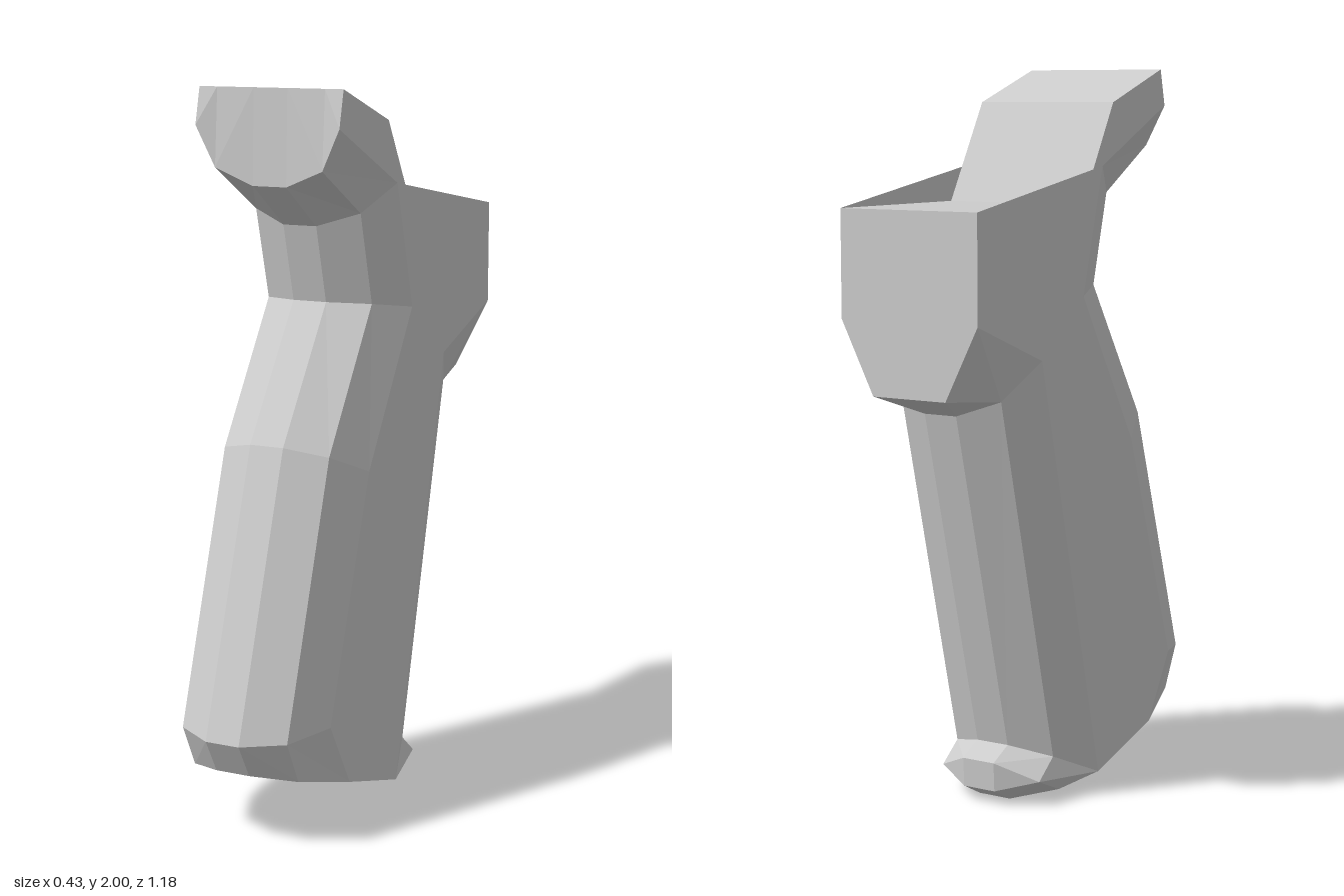
import * as THREE from 'three';

// Half widths of the six points running down one side of a section, front to back
const WIDTHS = [0.05, 0.16, 0.214, 0.214, 0.16, 0.05];
const BLOCK_WIDTHS = [0.05, 0.16, 0.214, 0.214, 0.114, 0.05];

// Front and rear halves of the sections, as [z, y]; front runs centre to side, rear side to centre
const same = (z, y) => [[z, y], [z, y], [z, y]];
const front = {
  sole: [[0.54, 0.21], [0.47, 0.19], [0.28, 0.14]],
  heel: [[0.594, 0.305], [0.53, 0.31], [0.39, 0.325]],
  palm: [[0.35, 1.06], [0.297, 1.035], [0.17, 0.98]],
  neck: [[0.11, 1.42], [0.053, 1.415], [-0.085, 1.395]],
  web: [[0.165, 1.63], [0.12, 1.665], [0.01, 1.74]],
  beak: [[0.328, 1.745], [0.335, 1.79], [0.343, 1.9]],
  tip: same(0.32, 2),
};
const rear = {
  sole: [[0, 0.06], [-0.12, 0.03], [-0.2, 0.005]],
  lipLow: [[0, 0.06], [-0.22, 0.075], [-0.276, 0.045]],
  lipHigh: [[0, 0.06], [-0.22, 0.075], [-0.28, 0.125]],
  lipTop: [[0, 0.06], [-0.15, 0.13], [-0.21, 0.16]],
  strapTop: [[-0.29, 1.24], [-0.403, 1.14], [-0.45, 1.1]],
  blockLow: [[-0.589, 1.353], [-0.589, 1.156], [-0.589, 1.156]],
  blockTop: same(-0.589, 1.64),
  saddle: same(-0.09, 1.64),
  crest: same(0.064, 1.91),
};

// Full closed section: one side, then its mirror image
function section(f, r, widths = WIDTHS) {
  const side = [...f, ...r].map(([z, y], i) => new THREE.Vector3(widths[i], y, z));
  const mirror = side.map((p) => new THREE.Vector3(-p.x, p.y, p.z)).reverse();
  return [...side, ...mirror];
}

// Flat-shaded skin over stacked sections, optionally closed at either end
function loft(name, rows, capBottom, capTop) {
  const pos = [];
  const tri = (a, b, c) => {
    const area = b.clone().sub(a).cross(c.clone().sub(a)).length();
    if (area > 1e-6) for (const p of [a, b, c]) pos.push(p.x, p.y, p.z);
  };
  for (let r = 0; r < rows.length - 1; r++) {
    for (let i = 0; i < 12; i++) {
      const j = (i + 1) % 12;
      const [a, b, c, d] = [rows[r][i], rows[r][j], rows[r + 1][j], rows[r + 1][i]];
      // Diagonals are mirrored from one side to the other
      if (i < 6) { tri(a, b, d); tri(b, c, d); }
      else { tri(a, b, c); tri(a, c, d); }
    }
  }
  // Caps are fans, as the end sections are convex
  for (let i = 1; i < 11; i++) {
    const bottom = rows[0], top = rows[rows.length - 1];
    if (capBottom) tri(bottom[0], bottom[i + 1], bottom[i]);
    if (capTop) tri(top[0], top[i], top[i + 1]);
  }
  const geometry = new THREE.BufferGeometry();
  geometry.setAttribute('position', new THREE.Float32BufferAttribute(pos, 3));
  geometry.computeVertexNormals();
  const material = new THREE.MeshStandardMaterial({ color: 0xcccccc, flatShading: true });
  const mesh = new THREE.Mesh(geometry, material);
  mesh.name = name;
  return mesh;
}

export function createModel() {
  const group = new THREE.Group();
  group.name = 'pistolGrip';

  const handleBottom = section(front.heel, rear.lipTop);
  const handleTop = section(front.palm, rear.strapTop);

  // Sloping base with a small lip at the rear
  group.add(loft('base', [
    section(front.sole, rear.sole),
    section(front.heel, rear.lipLow),
    section(front.heel, rear.lipHigh),
    handleBottom,
  ], true, false));

  // Raked, faceted handle
  group.add(loft('handle', [handleBottom, handleTop], false, false));

  // Mounting block at the rear, and the overhanging beak at the front
  group.add(loft('head', [
    handleTop,
    section(front.neck, rear.blockLow, BLOCK_WIDTHS),
    section(front.web, rear.blockTop),
    section(front.web, rear.saddle),
    section(front.web, rear.crest),
    section(front.beak, rear.crest),
    section(front.tip, rear.crest),
  ], false, true));

  return group;
}
